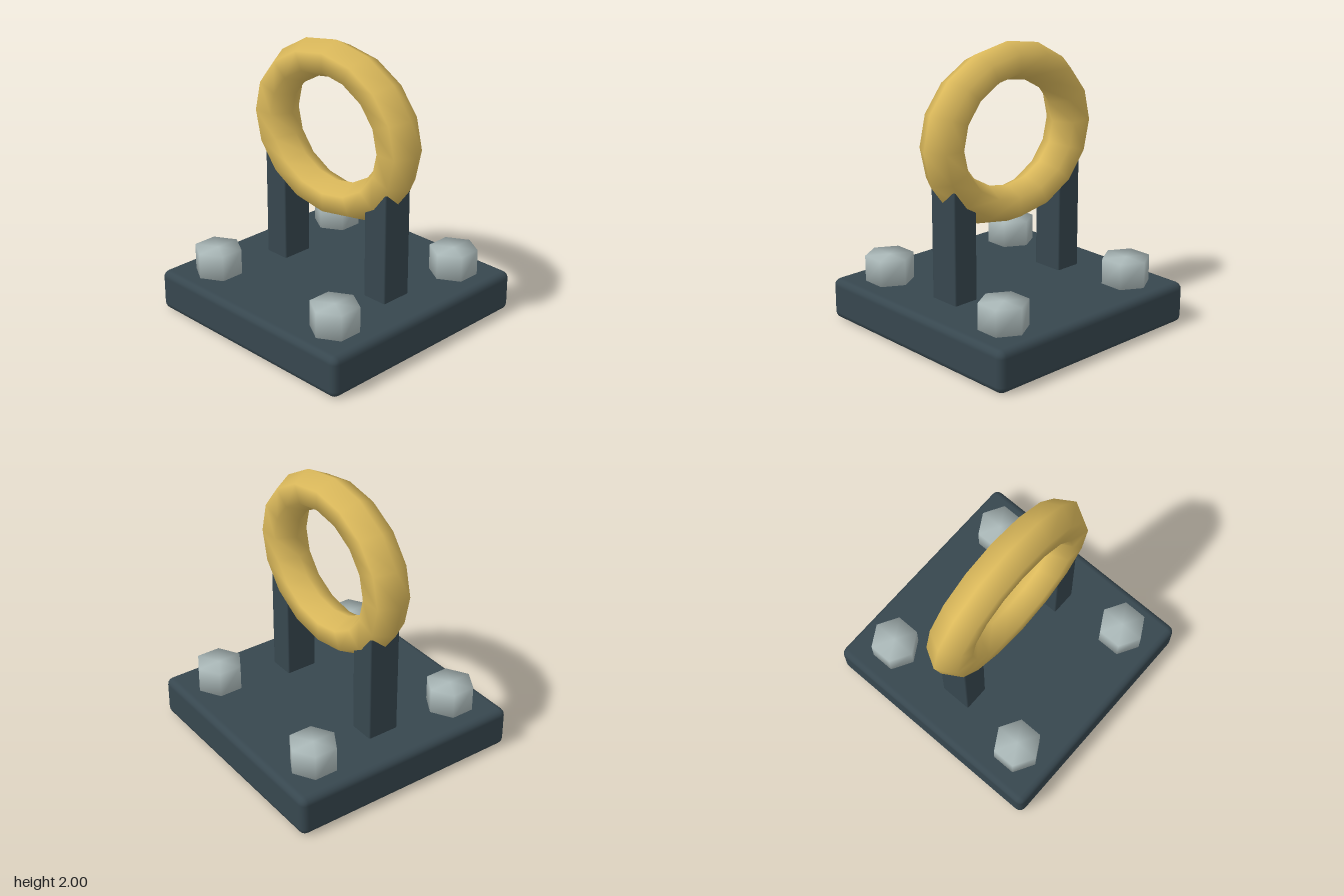
import * as THREE from 'three';
import { mergeVertices } from 'three/addons/utils/BufferGeometryUtils.js';
import { RoundedBoxGeometry } from 'three/addons/geometries/RoundedBoxGeometry.js';

function material(name, color) {
  const m = new THREE.MeshStandardMaterial({ color });
  m.name = name;
  return m;
}

// Share corner vertices so shading flows over the edges
function softened(geometry) {
  geometry.deleteAttribute('normal');
  geometry.deleteAttribute('uv');
  const merged = mergeVertices(geometry);
  merged.computeVertexNormals();
  return merged;
}

export function createModel() {
  const model = new THREE.Group();
  model.name = 'ringOnStand';
  const slate = material('slate', 0x37474f);
  const gold = material('gold', 0xdbb95b);
  const steel = material('steel', 0xacbaba);

  function add(name, geometry, mat, x, y, z) {
    const mesh = new THREE.Mesh(geometry, mat);
    mesh.name = name;
    mesh.position.set(x, y, z);
    model.add(mesh);
    return mesh;
  }

  // Base plate with bevelled edges
  add('basePlate', new RoundedBoxGeometry(1.745, 0.295, 1.745, 2, 0.05), slate, 0, 0.1475, 0);

  // Ring, slightly squashed in height
  const ring = add('ring', new THREE.TorusGeometry(0.585, 0.154, 6, 16), gold, 0, 1.367, 0);
  ring.scale.y = 0.856;

  // Two posts whose tops end inside the ring
  const postGeometry = new RoundedBoxGeometry(0.193, 0.84, 0.235, 1, 0.01);
  // Hexagonal bolt heads, points facing front and back
  const boltGeometry = softened(new THREE.CylinderGeometry(0.171, 0.171, 0.2, 6));
  for (const side of [-1, 1]) {
    const label = side > 0 ? 'left' : 'right';
    add(label + 'Post', postGeometry, slate, side * 0.487, 0.675, 0);
    for (const end of [-1, 1]) {
      add(label + (end > 0 ? 'Front' : 'Back') + 'Bolt', boltGeometry, steel, side * 0.582, 0.38, end * 0.584);
    }
  }
  return model;
}
